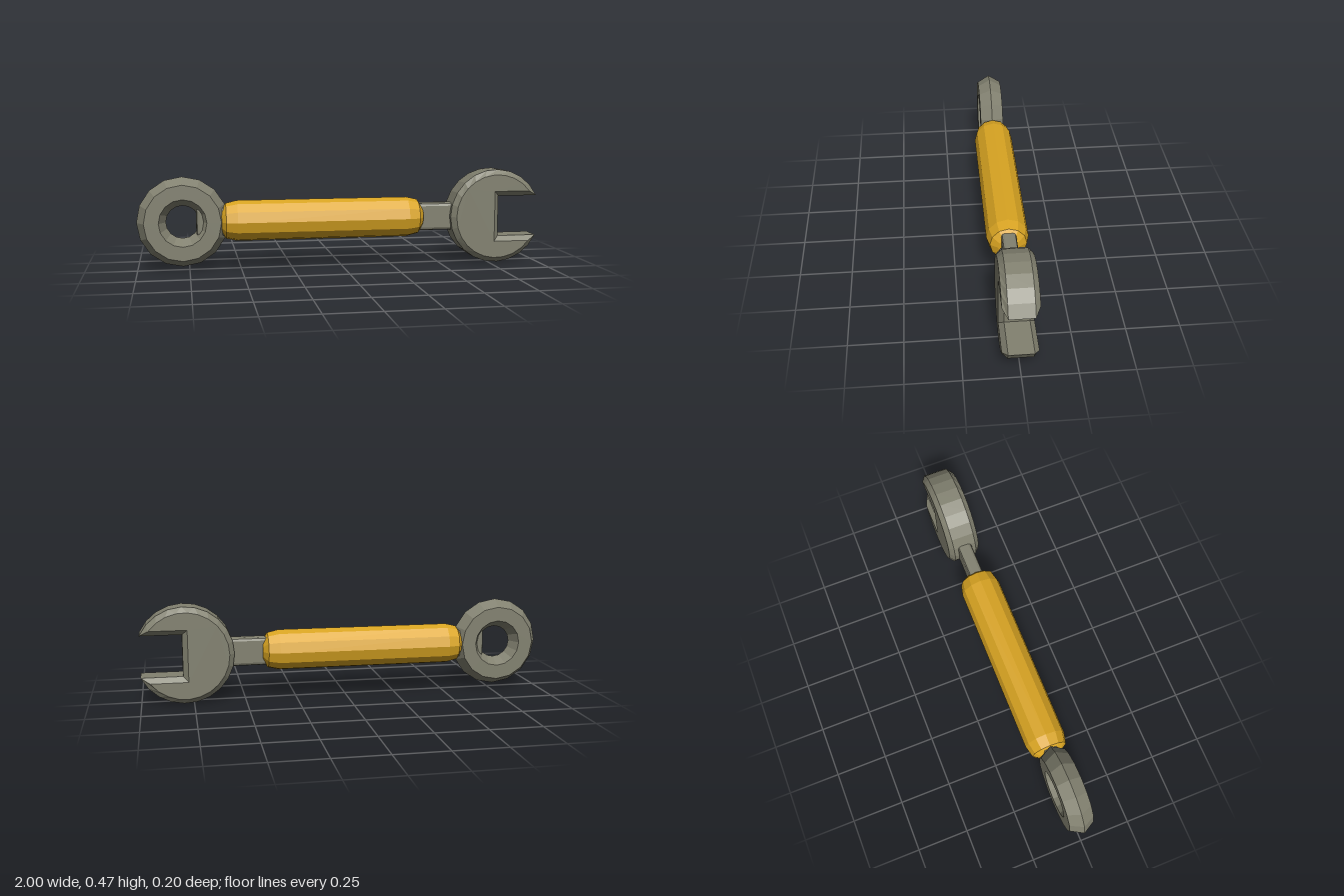
import * as THREE from 'three';
import { RoundedBoxGeometry } from 'three/addons/geometries/RoundedBoxGeometry.js';

const MID = 0.237; // height of the long axis

// Facet a geometry so every face has its own normal
function flat(geometry) {
  const g = geometry.index ? geometry.toNonIndexed() : geometry;
  g.computeVertexNormals();
  return g;
}

// Open-jaw outline: a round head with a square slot facing +x, shrunk by inset
function jawOutline(inset) {
  const r = 0.236 - inset, slot = 0.102 + inset, back = 0.012 - inset;
  const start = Math.asin(slot / r), n = 20, pts = [];
  for (let i = 0; i <= n; i++) {
    const a = start + (i / n) * (2 * Math.PI - 2 * start);
    pts.push(new THREE.Vector2(r * Math.cos(a), r * Math.sin(a)));
  }
  pts.push(new THREE.Vector2(back, -slot), new THREE.Vector2(back, slot));
  return pts;
}

// Loft the outline through bevel, rim and bevel, then cap both faces
function jawGeometry() {
  const sections = [[-0.081, 0.025], [-0.057, 0], [0.057, 0], [0.081, 0.025]];
  const pos = [], idx = [];
  for (const [z, inset] of sections) {
    for (const p of jawOutline(inset)) pos.push(p.x, p.y, z);
  }
  const n = pos.length / 3 / sections.length;
  for (let s = 0; s < sections.length - 1; s++) {
    for (let i = 0; i < n; i++) {
      const a = s * n + i, b = s * n + (i + 1) % n;
      idx.push(a, b, b + n, a, b + n, a + n);
    }
  }
  const top = (sections.length - 1) * n;
  for (const [a, b, c] of THREE.ShapeUtils.triangulateShape(jawOutline(0.025), [])) {
    idx.push(top + a, top + b, top + c, c, b, a);
  }
  const g = new THREE.BufferGeometry();
  g.setAttribute('position', new THREE.Float32BufferAttribute(pos, 3));
  g.setIndex(idx);
  return g;
}

export function createModel() {
  const steel = new THREE.MeshStandardMaterial({ color: 0x828170 });
  steel.name = 'steel grey';
  const grip = new THREE.MeshStandardMaterial({ color: 0xdaa522 });
  grip.name = 'grip yellow';

  const model = new THREE.Group();
  model.name = 'wrench';
  const add = (name, geometry, material, x) => {
    const mesh = new THREE.Mesh(flat(geometry), material);
    mesh.name = name;
    mesh.position.set(x, MID, 0);
    model.add(mesh);
  };

  // Closed ring end, six-sided in section
  add('ringEnd', new THREE.TorusGeometry(0.15, 0.07, 6, 16), steel, -0.78);

  // Chamfered bar running from the ring to the jaw
  add('bar', new RoundedBoxGeometry(1.36, 0.138, 0.07, 1, 0.015), steel, -0.035);

  // Twelve-sided grip with rounded ends
  const half = [[0.425, 0.1], [0.48, 0.087], [0.505, 0.05], [0.507, 0]];
  const profile = [
    ...half.slice().reverse().map(([x, r]) => new THREE.Vector2(r, -x)),
    ...half.map(([x, r]) => new THREE.Vector2(r, x)),
  ];
  add('handle', new THREE.LatheGeometry(profile, 12).rotateZ(-Math.PI / 2), grip, -0.093);

  // Open jaw end
  add('openJaw', jawGeometry(), steel, 0.787);

  return model;
}
